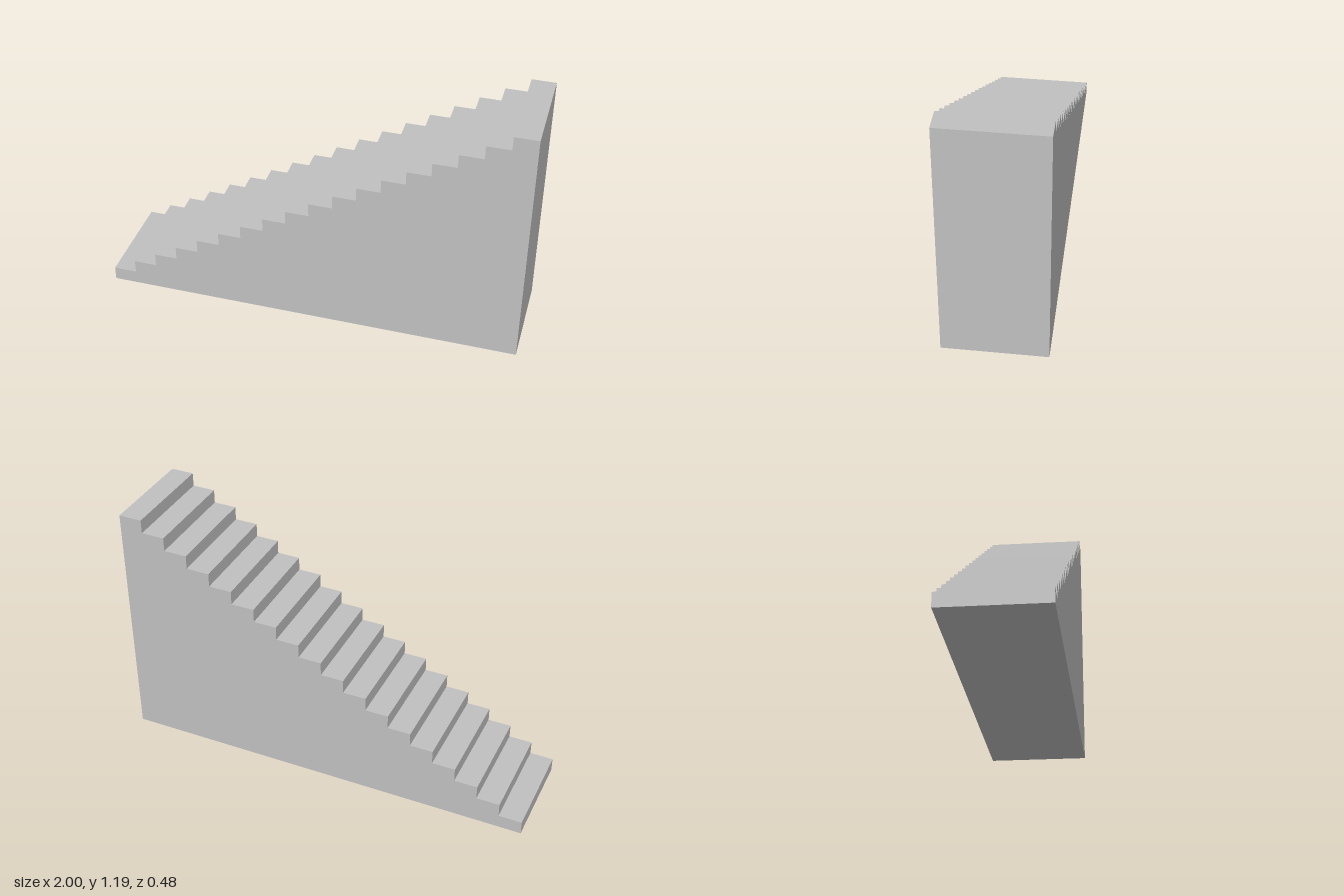
import * as THREE from 'three';

const STEPS = 18;
const LENGTH = 2;
const HEIGHT = 1.193;
const WIDTH = 0.477;

export function createModel() {
  const group = new THREE.Group();
  group.name = 'staircase';

  const stone = new THREE.MeshStandardMaterial({ color: 0xc0c0c0 });
  stone.name = 'light grey';

  // Stepped side profile, rising towards +x
  const run = LENGTH / STEPS;
  const rise = HEIGHT / STEPS;
  const profile = new THREE.Shape();
  profile.moveTo(-LENGTH / 2, 0);
  profile.lineTo(LENGTH / 2, 0);
  for (let i = STEPS; i > 0; i--) {
    const x = -LENGTH / 2 + i * run;
    profile.lineTo(x, i * rise);
    profile.lineTo(x - run, i * rise);
  }
  profile.closePath();

  // Solid flight of steps, extruded across its width
  const geometry = new THREE.ExtrudeGeometry(profile, { depth: WIDTH, bevelEnabled: false });
  geometry.translate(0, 0, -WIDTH / 2);
  const flight = new THREE.Mesh(geometry, stone);
  flight.name = 'solidFlightOfSteps';
  group.add(flight);

  return group;
}
